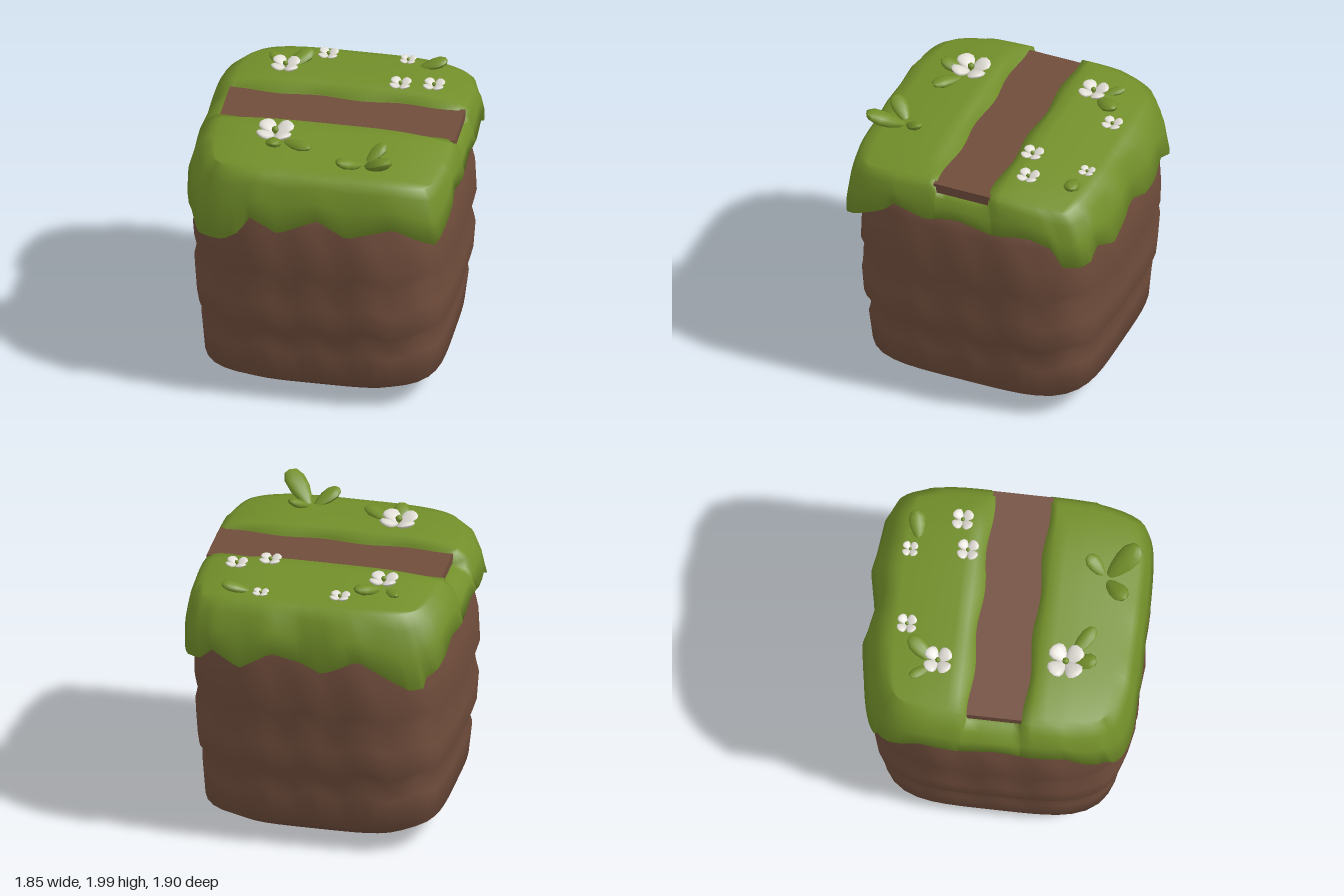
import * as THREE from 'three';

const mat = (name, color, side = THREE.FrontSide) =>
  Object.assign(new THREE.MeshStandardMaterial({ color, side }), { name });

// Piecewise-linear lookup in a list of [position, value]
function lookup(table, t) {
  if (t <= table[0][0]) return table[0][1];
  for (let i = 1; i < table.length; i++) {
    const [a, va] = table[i - 1], [b, vb] = table[i];
    if (t <= b) return va + (vb - va) * (t - a) / (b - a);
  }
  return table[table.length - 1][1];
}

// Joins two closed loops of vertex indices, upper loop first
function stitch(index, upper, lower) {
  const n = upper.length;
  for (let p = 0; p < n; p++) {
    const q = (p + 1) % n;
    index.push(upper[p], lower[p], lower[q], upper[p], lower[q], upper[q]);
  }
}

function surface(positions, index) {
  const g = new THREE.BufferGeometry();
  g.setAttribute('position', new THREE.Float32BufferAttribute(positions, 3));
  g.setIndex(index);
  g.computeVertexNormals();
  return g;
}

// Soil block: rounded-square loops with wavy horizontal bands
function soilGeometry() {
  const profile = [[1.7, 0.001], [1.7, 0.6], [1.6, 0.83], [1.45, 0.865], [1.3, 0.895], [1.05, 0.905],
    [0.95, 0.865], [0.8, 0.895], [0.6, 0.88], [0.52, 0.825], [0.42, 0.85], [0.18, 0.825], [0.06, 0.66], [0, 0.001]];
  const n = 64, pos = [], index = [];
  let previous = null;
  for (const [y, r] of profile) {
    const ring = [];
    const wave = y > 0.3 && y < 1.4 ? 1 : 0;
    const power = 4.4 - 0.85 * Math.min(y, 1.2);
    for (let k = 0; k < n; k++) {
      const a = k / n * Math.PI * 2, s = Math.sin(a), c = Math.cos(a);
      const ripple = wave * Math.cos(16 * a);
      const d = (r + 0.01 * ripple) / Math.pow(Math.abs(s) ** power + Math.abs(c) ** power, 1 / power);
      ring.push(pos.length / 3);
      pos.push(d * s, y + 0.03 * ripple, d * c * (0.985 + 0.035 * y) + 0.01);
    }
    if (previous) stitch(index, previous, ring);
    previous = ring;
  }
  return surface(pos, index);
}

// Height of the turf, without the plank channel
const turfHeight = (x, z) =>
  1.885 - 0.07 * (Math.max(Math.abs(z) - 0.25, 0) / 0.55) ** 1.5 - 0.06 * (Math.abs(x) / 0.8) ** 4;

// Ragged hem heights along each side
const hem = {
  front: [[-0.93, 1.38], [-0.78, 1.29], [-0.6, 1.3], [-0.47, 1.39], [-0.44, 1.52], [-0.22, 1.4], [0.05, 1.53],
    [0.25, 1.41], [0.57, 1.51], [0.8, 1.4], [0.93, 1.38]],
  plusX: [[-0.95, 1.4], [-0.71, 1.4], [-0.68, 1.54], [-0.48, 1.6], [-0.25, 1.55], [0.04, 1.61], [0.26, 1.55],
    [0.53, 1.62], [0.56, 1.53], [0.84, 1.38], [0.95, 1.38]],
  back: [[-0.93, 1.31], [-0.7, 1.3], [-0.35, 1.52], [-0.1, 1.4], [0.25, 1.52], [0.47, 1.38], [0.69, 1.5],
    [0.75, 1.4], [0.93, 1.4]],
  minusX: [[-0.95, 1.31], [-0.7, 1.42], [-0.5, 1.57], [-0.25, 1.53], [0.04, 1.6], [0.3, 1.54], [0.5, 1.58],
    [0.65, 1.45], [0.95, 1.38]],
};
// Overhang of the back side along x
const backReach = [[-0.75, 0.91], [-0.48, 0.925], [-0.2, 0.96], [0.05, 0.905], [0.3, 0.96], [0.6, 0.935], [0.9, 0.93]];

// Turf cap: a height grid with a channel, then a skirt folding down to the hem
function turfGeometry() {
  const nu = 41, cx = 0.035, cz = 0.03, halfX = 0.815, halfZ = 0.82;
  const rows = [-0.79, -0.73, -0.65, -0.6, -0.56, -0.52, -0.42, -0.33, -0.25, -0.178, -0.17, -0.08, 0.04, 0.13,
    0.195, 0.203, 0.26, 0.35, 0.45, 0.48, 0.52, 0.6, 0.69, 0.77, 0.85];
  const nv = rows.length, pos = [], outer = [], index = [];
  for (const row of rows) {
    for (let i = 0; i < nu; i++) {
      const u = i / (nu - 1) * 2 - 1, v = (row - cz) / halfZ;
      // corners are rounder on the -x side
      const f = 1 - (u < 0 ? 0.135 : 0.09) * u ** 4 * v ** 4;
      const x = cx + halfX * u * f;
      let z = cz + halfZ * v * f, y = turfHeight(x, z);
      const inChannel = row > -0.175 && row < 0.2;
      const lip = row === -0.178 || row === 0.203;
      if (inChannel) y = 1.752;
      else if (lip) y = Math.min(y, 1.83);
      if (lip || (inChannel && Math.abs(row) > 0.15)) z += 0.012 * Math.sin(x * 11);
      pos.push(x, y, z);
      outer.push([u * f * 0.925, v * f * (v < 0 ? lookup(backReach, u * 0.925) : 0.945)]);
    }
  }
  for (let j = 0; j < nv - 1; j++) for (let i = 0; i < nu - 1; i++) {
    const a = j * nu + i, c = a + nu;
    index.push(a, c, a + 1, a + 1, c, c + 1);
  }
  // Boundary loop with its hem height
  const edge = [], drop = [];
  const add = (i, j, side, axis) => {
    const e = j * nu + i;
    edge.push(e);
    drop.push(lookup(side, outer[e][axis]));
  };
  for (let i = 0; i < nu - 1; i++) add(i, nv - 1, hem.front, 0);
  for (let j = nv - 1; j > 0; j--) add(nu - 1, j, hem.plusX, 1);
  for (let i = nu - 1; i > 0; i--) add(i, 0, hem.back, 0);
  for (let j = 0; j < nv - 1; j++) add(0, j, hem.minusX, 1);
  // Skirt loops: outward share, height share, and tuck-in for the inner lip
  let previous = edge;
  for (const [out, part, tuck] of [[0.45, 0.82, 1], [0.78, 0.45, 1], [1, 0, 1], [1, 0.06, 0.92]]) {
    const ring = edge.map((e, p) => {
      const [x, y, z] = pos.slice(e * 3, e * 3 + 3), [ox, oz] = outer[e];
      pos.push((x + (ox - x) * out) * tuck, drop[p] + (y - drop[p]) * part, (z + (oz - z) * out) * tuck);
      return pos.length / 3 - 1;
    });
    stitch(index, previous, ring);
    previous = ring;
  }
  return surface(pos, index);
}

// Teardrop blade from base to tip, narrow at the base
function blade(name, base, tip, width, thickness, material) {
  const from = new THREE.Vector3(...base), to = new THREE.Vector3(...tip);
  const g = new THREE.SphereGeometry(0.5, 10, 6).rotateX(Math.PI / 2);
  const p = g.attributes.position;
  for (let i = 0; i < p.count; i++) {
    const t = p.getZ(i) + 0.5, taper = 0.55 + 0.7 * t;
    p.setXYZ(i, p.getX(i) * width * taper, p.getY(i) * thickness * taper, t * from.distanceTo(to));
  }
  g.computeVertexNormals();
  const mesh = new THREE.Mesh(g, material);
  mesh.name = name;
  mesh.position.copy(from);
  mesh.lookAt(to);
  return mesh;
}

export function createModel() {
  const soil = mat('soil brown', 0x704d3c);
  const grass = mat('grass green', 0x728f2a, THREE.DoubleSide);
  const white = mat('petal white', 0xe0ddd5);
  const model = new THREE.Group();
  model.name = 'grassBlock';
  const addMesh = (name, geometry, material) => {
    const m = new THREE.Mesh(geometry, material);
    m.name = name;
    model.add(m);
    return m;
  };

  addMesh('soilBlock', soilGeometry(), soil);
  addMesh('turfCap', turfGeometry(), grass);
  addMesh('plank', new THREE.BoxGeometry(1.62, 0.07, 0.41), soil).position.set(0.05, 1.782, 0.015);

  // Four-petalled flowers: x, z, radius
  for (const [x, z, r] of [[-0.33, 0.44, 0.11], [-0.42, -0.42, 0.085], [-0.17, -0.66, 0.06],
    [0.37, -0.7, 0.048], [0.39, -0.31, 0.065], [0.61, -0.37, 0.065]]) {
    const flower = new THREE.Group();
    flower.name = 'flower';
    flower.position.set(x, turfHeight(x, z) + 0.005, z);
    for (let k = 0; k < 4; k++) {
      const a = Math.PI / 4 + k * Math.PI / 2, c = Math.cos(a) * r, s = Math.sin(a) * r;
      flower.add(blade('petal', [c * 0.08, 0, s * 0.08], [c * 1.25, r * 0.4, s * 1.25], r * 1.22, r * 0.42, white));
    }
    const heart = new THREE.Mesh(new THREE.SphereGeometry(r * 0.22, 8, 6), grass);
    heart.name = 'flowerHeart';
    heart.position.y = r * 0.32;
    flower.add(heart);
    model.add(flower);
  }

  // Leaves: base, tip, width
  for (const [base, tip, width] of [
    [[0.33, 1.82, 0.64], [0.52, 1.98, 0.85], 0.17], [[0.31, 1.82, 0.64], [0.16, 1.91, 0.79], 0.13],
    [[0.33, 1.83, 0.63], [0.44, 1.92, 0.5], 0.11], [[-0.32, 1.85, 0.46], [-0.31, 1.92, 0.65], 0.12],
    [[-0.28, 1.85, 0.47], [-0.06, 1.89, 0.61], 0.11], [[-0.42, 1.84, -0.45], [-0.27, 1.9, -0.63], 0.13],
    [[-0.44, 1.84, -0.45], [-0.55, 1.87, -0.6], 0.08], [[0.45, 1.82, -0.65], [0.645, 1.88, -0.69], 0.12],
  ]) model.add(blade('leaf', base, tip, width, width * 0.55, grass));

  return model;
}
